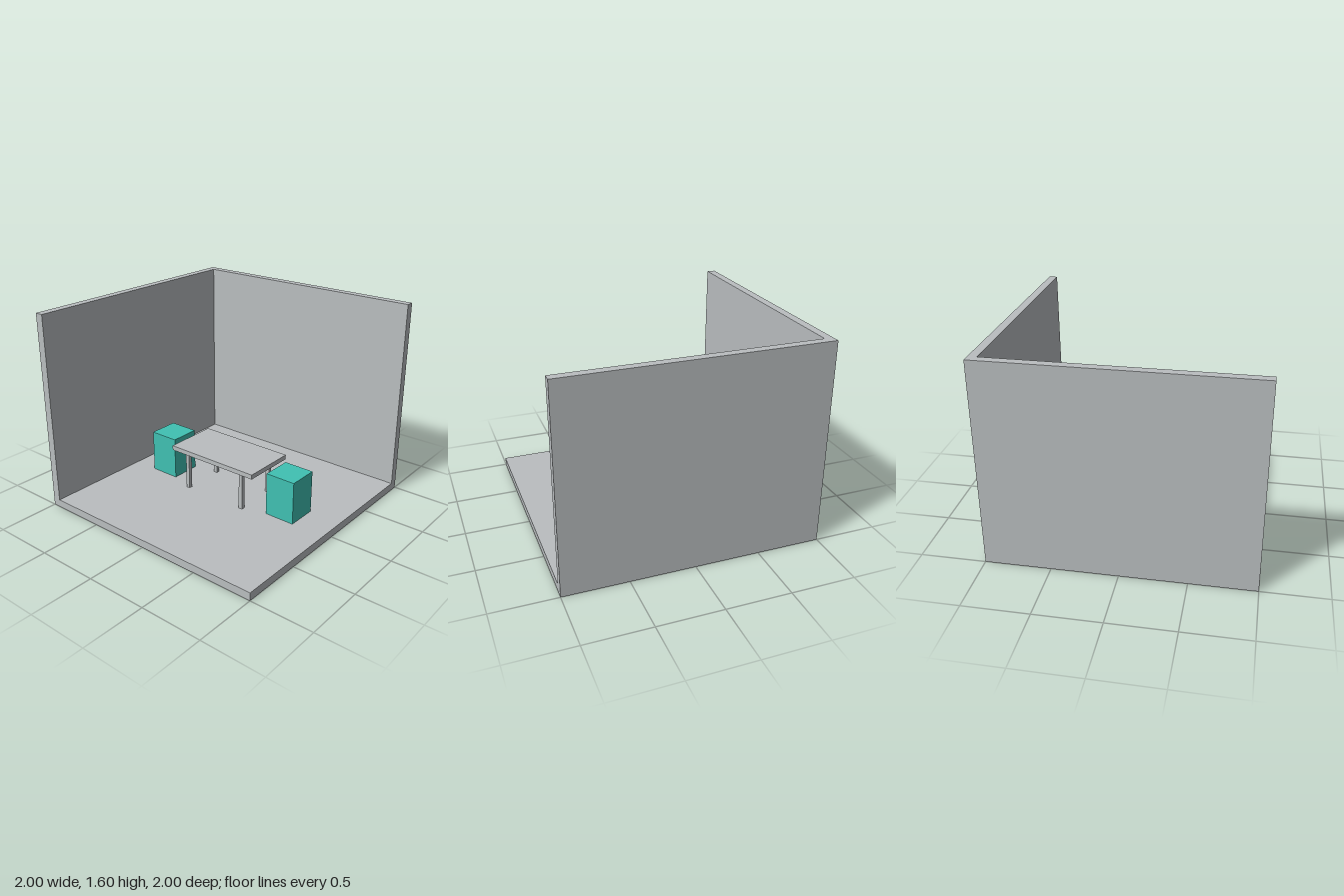
import * as THREE from 'three';

export function createModel() {
  const model = new THREE.Group();
  model.name = 'diningRoom';

  const grey = new THREE.MeshStandardMaterial({ color: 0xbabec0 });
  grey.name = 'plaster grey';
  const teal = new THREE.MeshStandardMaterial({ color: 0x40c1b3 });
  teal.name = 'stool teal';

  // Box given by its lower and upper corners
  function box(parent, name, material, [x0, y0, z0], [x1, y1, z1]) {
    const mesh = new THREE.Mesh(new THREE.BoxGeometry(x1 - x0, y1 - y0, z1 - z0), material);
    mesh.position.set((x0 + x1) / 2, (y0 + y1) / 2, (z0 + z1) / 2);
    mesh.name = name;
    parent.add(mesh);
  }

  const floorTop = 0.063;
  const wallInner = -0.934;
  const wallTop = 1.6;

  // Room shell: floor with two walls meeting at the back right corner
  box(model, 'floor', grey, [-1, 0, -1], [1, floorTop, 1]);
  box(model, 'backWall', grey, [-1, floorTop, -1], [1, wallTop, wallInner]);
  box(model, 'sideWall', grey, [-1, floorTop, wallInner], [wallInner, wallTop, 1]);

  // Table
  const table = new THREE.Group();
  table.name = 'table';
  table.position.z = -0.002;
  model.add(table);
  const underside = 0.378;
  box(table, 'tableTop', grey, [-0.408, underside, -0.223], [0.408, 0.416, 0.223]);
  const half = 0.016;
  for (const x of [-0.275, 0.275]) {
    for (const z of [-0.175, 0.175]) {
      box(table, 'tableLeg', grey, [x - half, floorTop, z - half], [x + half, underside, z + half]);
    }
  }

  // Block stools at both ends of the table
  for (const x of [-0.602, 0.601]) {
    box(model, 'stool', teal, [x - 0.125, floorTop, -0.128], [x + 0.125, 0.411, 0.122]);
  }

  return model;
}
